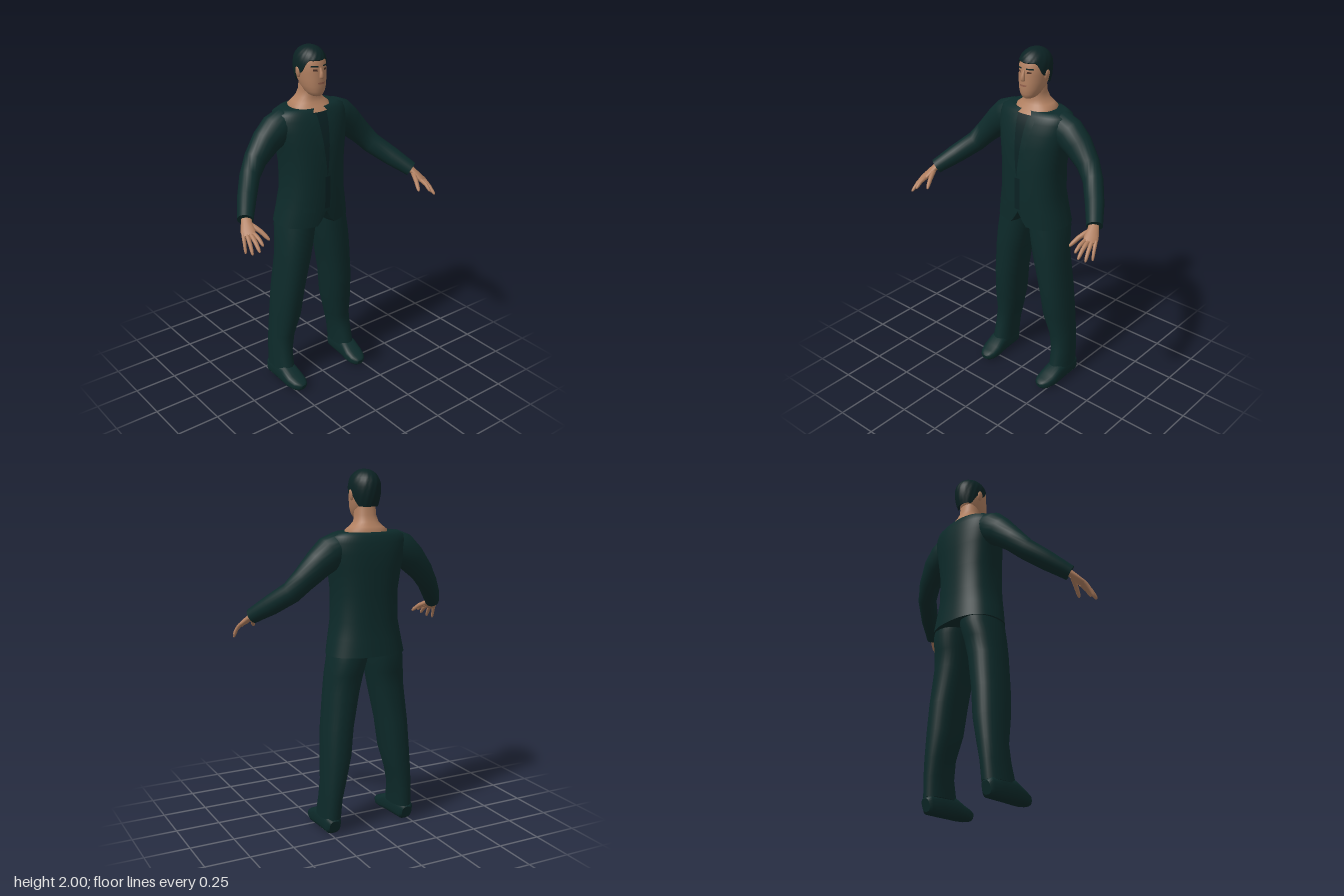
import * as THREE from 'three';

const V = (x, y, z) => new THREE.Vector3(x, y, z);
const mat = (name, color) => {
  const m = new THREE.MeshStandardMaterial({ color });
  m.name = name;
  return m;
};

// Skin a stack of closed rings, with flat end caps
function loft(rings) {
  const pos = [], idx = [], n = rings[0].length;
  const add = p => pos.push(p.x, p.y, p.z) / 3 - 1;
  rings.forEach(r => r.forEach(add));
  for (let i = 0; i < rings.length - 1; i++) for (let j = 0; j < n; j++) {
    const a = i * n + j, b = i * n + (j + 1) % n;
    idx.push(a, a + n, b, b, a + n, b + n);
  }
  [rings[0], rings[rings.length - 1]].forEach((r, end) => {
    const mid = r.reduce((s, p) => s.add(p), V(0, 0, 0)).divideScalar(n);
    const c = add(mid), first = c + 1;
    r.forEach(add);
    for (let j = 0; j < n; j++) {
      const a = first + j, b = first + (j + 1) % n;
      if (end) idx.push(c, b, a); else idx.push(c, a, b);
    }
  });
  return finish(pos, idx);
}

function finish(pos, idx) {
  const g = new THREE.BufferGeometry();
  g.setAttribute('position', new THREE.Float32BufferAttribute(pos, 3));
  g.setIndex(idx);
  g.computeVertexNormals();
  return g;
}

// Unit superellipse point
function oval(j, seg, n) {
  const a = j / seg * Math.PI * 2, c = Math.cos(a), s = Math.sin(a), e = 2 / n;
  return [Math.sign(c) * Math.abs(c) ** e, Math.sign(s) * Math.abs(s) ** e];
}

// Horizontal sections: [y, centre x, half width, front z, back z]
const body = (sections, n = 2, seg = 32) => sections.map(([y, x, rx, zf, zb]) =>
  Array.from({ length: seg }, (_, j) => {
    const [c, s] = oval(j, seg, n);
    return V(x + rx * c, y, (zf + zb) / 2 + (zf - zb) / 2 * s);
  }));

// Sections along a path: [x, y, z, radius along ref, radius across]
function tube(pts, ref, n = 2, seg = 16) {
  const c = pts.map(p => V(p[0], p[1], p[2]));
  return loft(pts.map((p, i) => {
    const t = c[Math.min(i + 1, c.length - 1)].clone().sub(c[Math.max(i - 1, 0)]).normalize();
    const u = ref.clone().addScaledVector(t, -ref.dot(t)).normalize();
    const v = u.clone().cross(t);
    return Array.from({ length: seg }, (_, j) => {
      const [a, b] = oval(j, seg, n);
      return c[i].clone().addScaledVector(u, p[3] * a).addScaledVector(v, p[4] * b);
    });
  }));
}

// Front depth of a sectioned body at x, y
function frontZ(sections, n, x, y) {
  let i = 0;
  while (i < sections.length - 2 && sections[i + 1][0] < y) i++;
  const a = sections[i], b = sections[i + 1];
  const k = THREE.MathUtils.clamp((y - a[0]) / (b[0] - a[0]), 0, 1);
  const [, cx, rx, zf, zb] = a.map((v, q) => v + (b[q] - v) * k);
  const w = Math.min(1, Math.abs(x - cx) / rx);
  return (zf + zb) / 2 + (zf - zb) / 2 * (1 - w ** n) ** (1 / n);
}

// Thin patch on a body front; corners: lower left, lower right, upper right, upper left
function patch(sections, n, [a, b, c, d], lift = 0.004) {
  const pos = [], idx = [], U = 6, W = 12;
  const mix = THREE.MathUtils.lerp;
  for (let i = 0; i <= W; i++) for (let j = 0; j <= U; j++) {
    const [x, y] = [0, 1].map(q => mix(mix(a[q], b[q], j / U), mix(d[q], c[q], j / U), i / W));
    pos.push(x, y, frontZ(sections, n, x, y) + lift);
    if (i < W && j < U) {
      const k = i * (U + 1) + j, m = k + U + 1;
      idx.push(k, k + 1, m, m, k + 1, m + 1);
    }
  }
  return finish(pos, idx);
}

function mirror(g) {
  const m = g.clone().scale(-1, 1, 1), ix = m.index.array;
  for (let i = 0; i < ix.length; i += 3) [ix[i], ix[i + 1]] = [ix[i + 1], ix[i]];
  m.computeVertexNormals();
  return m;
}

export function createModel() {
  const model = new THREE.Group();
  model.name = 'manInSuit';
  const suit = mat('dark green cloth', 0x0d2a2a), shade = mat('shaded cloth', 0x0a2123);
  const skin = mat('skin', 0xb07f60), hair = mat('dark hair', 0x0b2223);
  const eye = mat('eye brown', 0x4a3026), lip = mat('lip', 0x94604c);
  const add = (name, g, m) => {
    const mesh = new THREE.Mesh(g, m);
    mesh.name = name;
    model.add(mesh);
  };
  const pair = (name, g, m) => { add(name + 'Left', g, m); add(name + 'Right', mirror(g), m); };

  // Jacket, with the front hem cut away in an inverted V
  const torso = [
    [1.01, 0, 0.222, 0.035, -0.275], [1.1, 0, 0.205, 0.04, -0.265], [1.2, 0, 0.187, 0.042, -0.255],
    [1.35, 0, 0.185, 0.042, -0.256], [1.48, 0, 0.205, 0.032, -0.262], [1.56, 0, 0.222, 0.016, -0.262],
    [1.62, 0, 0.225, -0.002, -0.255], [1.655, 0, 0.215, -0.02, -0.245], [1.675, 0, 0.17, -0.035, -0.232],
    [1.672, 0, 0.112, -0.045, -0.222]];
  const jacketRings = body(torso, 2.4, 64);
  for (const p of jacketRings[0]) if (p.z > -0.1) p.y += 0.08 * Math.max(0, 1 - Math.abs(p.x) / 0.05);
  add('jacket', loft(jacketRings), suit);
  const cloth = torso.slice(0, -1);
  add('shirtFront', patch(cloth, 2.4, [[-0.003, 1.31], [0.003, 1.31], [0.05, 1.655], [-0.05, 1.655]], 0.003), shade);
  add('jacketOpening', patch(cloth, 2.4, [[-0.015, 1.11], [0.02, 1.11], [0.02, 1.3], [-0.015, 1.3]], 0.003), shade);
  pair('lapel', patch(cloth, 2.4, [[0.002, 1.3], [0.02, 1.33], [0.085, 1.64], [0.035, 1.655]], 0.008), suit);
  pair('pocketFlap', patch(cloth, 2.4, [[0.08, 1.1], [0.15, 1.11], [0.15, 1.14], [0.08, 1.13]], 0.006), suit);

  // Sleeves
  pair('sleeve', tube([
    [0.1, 1.605, -0.125, 0.06, 0.07], [0.16, 1.595, -0.13, 0.085, 0.083], [0.215, 1.565, -0.132, 0.095, 0.083],
    [0.28, 1.515, -0.132, 0.082, 0.077], [0.36, 1.435, -0.118, 0.067, 0.062], [0.42, 1.365, -0.085, 0.06, 0.055],
    [0.5, 1.29, 0.005, 0.055, 0.051], [0.55, 1.243, 0.07, 0.046, 0.045], [0.572, 1.222, 0.098, 0.043, 0.043]],
  V(0, 1, 0), 2, 24), suit);

  // Hands
  const across = V(0.045, -0.005, -0.035);
  pair('palm', tube([
    [0.56, 1.235, 0.085, 0.026, 0.02], [0.578, 1.21, 0.118, 0.03, 0.017],
    [0.592, 1.185, 0.15, 0.038, 0.016], [0.601, 1.168, 0.175, 0.036, 0.012]], across), skin);
  const fingers = [ // knuckle, tip, radius
    [[0.577, 1.175, 0.183], [0.574, 1.135, 0.262], 0.0105],
    [[0.592, 1.172, 0.178], [0.602, 1.112, 0.272], 0.011],
    [[0.608, 1.17, 0.168], [0.628, 1.095, 0.245], 0.0105],
    [[0.623, 1.168, 0.155], [0.643, 1.09, 0.203], 0.009],
    [[0.565, 1.205, 0.125], [0.515, 1.14, 0.232], 0.0125]];
  fingers.forEach(([a, b, r], i) => {
    const at = (t, k) => [0, 1, 2].map(q => a[q] + (b[q] - a[q]) * t + (q === 1 ? 0.01 * Math.sin(Math.PI * t) : 0)).concat(r * k, r * k);
    const name = i < 4 ? 'finger' + (i + 1) : 'thumb';
    pair(name, tube([at(-0.15, 1), at(0.2, 1.1), at(0.55, 1), at(0.85, 0.85), at(0.96, 0.6), at(1, 0.2)], across, 2, 10), skin);
  });

  // Trousers
  pair('trouserLeg', loft(body([
    [0.09, 0.226, 0.056, -0.012, -0.216], [0.2, 0.22, 0.057, -0.038, -0.222], [0.3, 0.206, 0.066, -0.045, -0.226],
    [0.44, 0.185, 0.08, -0.016, -0.229], [0.6, 0.171, 0.084, 0, -0.225], [0.8, 0.14, 0.095, 0.012, -0.217],
    [0.9, 0.125, 0.101, 0.013, -0.228], [0.98, 0.112, 0.103, 0.013, -0.248], [1.06, 0.1, 0.1, 0.01, -0.24]], 2.3)), suit);

  // Shoes, heel to toe
  pair('shoe', tube([
    [0.232, 0.05, -0.206, 0.03, 0.035], [0.232, 0.055, -0.19, 0.046, 0.052], [0.23, 0.062, -0.12, 0.05, 0.06],
    [0.228, 0.06, -0.04, 0.056, 0.058], [0.224, 0.042, 0.02, 0.059, 0.04], [0.219, 0.034, 0.065, 0.05, 0.031],
    [0.216, 0.03, 0.09, 0.034, 0.024], [0.215, 0.028, 0.1, 0.016, 0.014]], V(1, 0, 0), 2.8, 24), suit);

  // Neck, spreading into the open collar
  add('neck', loft(body([
    [1.655, 0, 0.112, -0.015, -0.226], [1.682, 0, 0.116, -0.04, -0.224], [1.7, 0, 0.092, -0.055, -0.212],
    [1.725, 0, 0.066, -0.066, -0.194], [1.76, 0, 0.058, -0.062, -0.178], [1.82, 0, 0.056, -0.06, -0.17]], 2.3)), skin);

  // Head
  const skull = [
    [1.738, 0, 0.024, -0.03, -0.09], [1.746, 0, 0.038, -0.02, -0.11], [1.765, 0, 0.053, -0.013, -0.14],
    [1.795, 0, 0.064, -0.01, -0.165], [1.83, 0, 0.071, -0.011, -0.188], [1.87, 0, 0.075, -0.014, -0.2],
    [1.91, 0, 0.077, -0.017, -0.205], [1.95, 0, 0.068, -0.032, -0.195], [1.98, 0, 0.045, -0.06, -0.165]];
  add('head', loft(body(skull, 2.2)), skin);
  add('nose', tube([[0, 1.895, -0.017, 0.007, 0.006], [0, 1.87, -0.01, 0.009, 0.01],
    [0, 1.85, -0.005, 0.015, 0.013], [0, 1.84, -0.01, 0.011, 0.008]], V(1, 0, 0)), skin);
  pair('ear', new THREE.SphereGeometry(1, 12, 10).scale(0.009, 0.03, 0.018).rotateZ(-0.15).translate(0.079, 1.865, -0.112), skin);
  pair('eye', patch(skull, 2.2, [[0.02, 1.879], [0.044, 1.881], [0.042, 1.89], [0.022, 1.89]], 0.002), eye);
  pair('eyebrow', patch(skull, 2.2, [[0.014, 1.9], [0.053, 1.9], [0.05, 1.908], [0.015, 1.907]], 0.002), hair);
  add('mouth', patch(skull, 2.2, [[-0.018, 1.808], [0.018, 1.808], [0.024, 1.818], [-0.024, 1.818]], 0.003), lip);

  // Hair cap: hairline high in front, sideburns, low at the nape
  const hairRings = [];
  for (let i = 0; i <= 14; i++) hairRings.push(Array.from({ length: 48 }, (_, j) => {
    const [c, s] = oval(j, 48, 2);
    const low = s > 0.15 ? 1.865 + 0.072 * THREE.MathUtils.smoothstep(s, 0.25, 0.75)
      : 1.865 - 0.06 * THREE.MathUtils.smoothstep(-s, 0.1, 0.6);
    const y = low + (1.999 - low) * Math.sin(i / 14 * Math.PI / 2);
    const d = (y - 1.9) / 0.1;
    const f = d > 0 ? Math.max(0.02, 1 - Math.min(1, d) ** 2.3) ** 0.5 : 1 - 0.2 * d * d;
    const ripple = 1 + 0.012 * Math.sin(j * 2.1 + i);
    return V(0.084 * c * f * ripple, y, -0.113 + 0.103 * s * f * ripple);
  }));
  add('hair', loft(hairRings), hair);
  return model;
}
